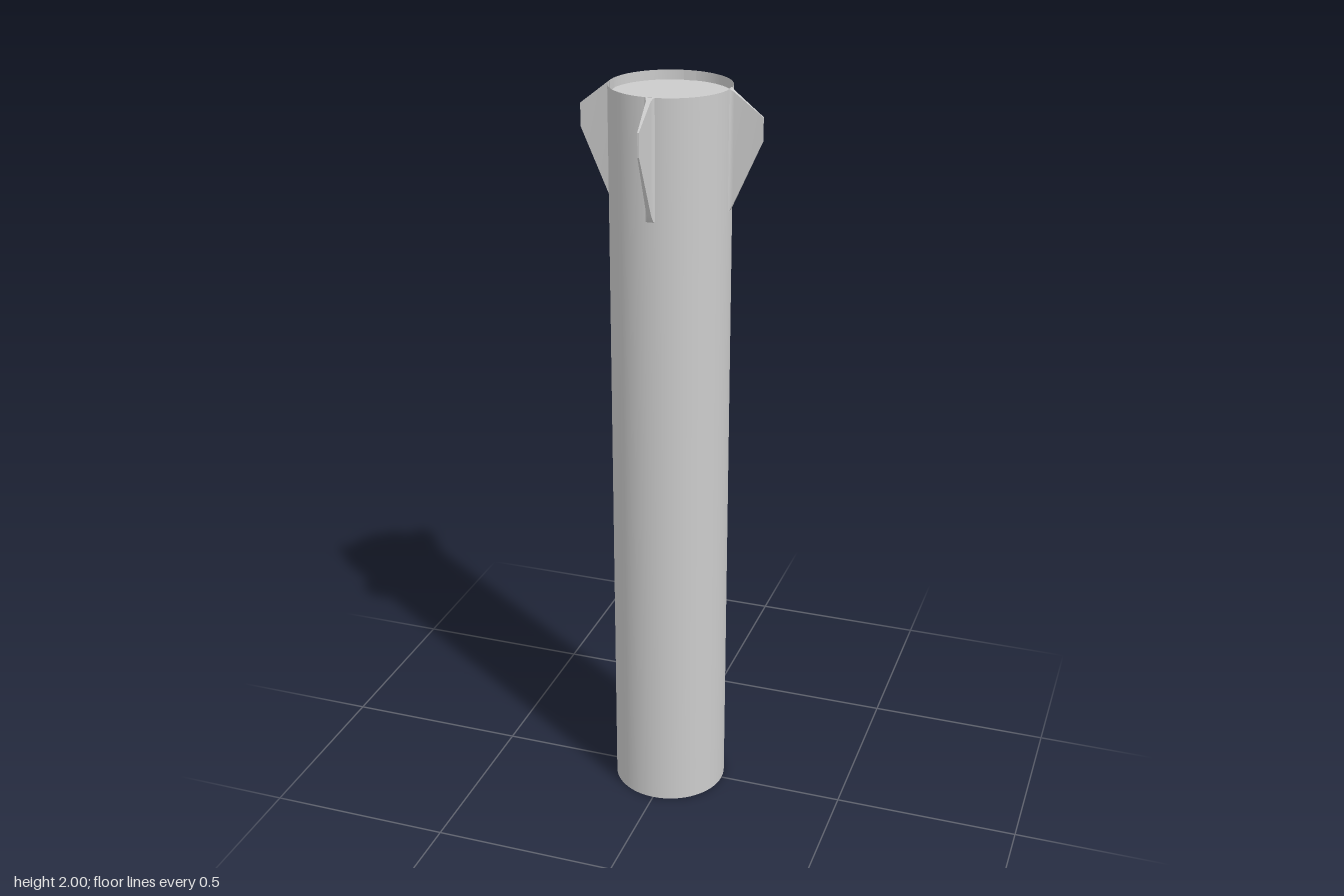
import * as THREE from 'three';

const RADIUS = 0.155;
const HEIGHT = 2;
const TIP = 0.238;

// Fin stations from root to tip: [distance from axis, half thickness]
const STATIONS = [[0.152, 0.016], [0.157, 0.009], [0.165, 0.006], [TIP, 0.002]];

function finGeometry() {
  const geo = new THREE.BoxGeometry(3, 1, 1, 3, 1, 1);
  const p = geo.attributes.position;
  for (let i = 0; i < p.count; i++) {
    const [r, half] = STATIONS[Math.round(p.getX(i) + 1.5)];
    const t = Math.max(0, (r - RADIUS) / (TIP - RADIUS));
    const top = HEIGHT - 0.065 * t;
    const bottom = 1.69 + 0.185 * t;
    p.setXYZ(i, r, p.getY(i) > 0 ? top : bottom, Math.sign(p.getZ(i)) * half);
  }
  geo.computeVertexNormals();
  return geo;
}

export function createModel() {
  const group = new THREE.Group();
  const grey = new THREE.MeshStandardMaterial({ color: 0xcccccc });
  const thin = new THREE.MeshStandardMaterial({ color: 0xcccccc, side: THREE.DoubleSide });

  const add = (name, geo, mat) => {
    const mesh = new THREE.Mesh(geo, mat);
    mesh.name = name;
    group.add(mesh);
    return mesh;
  };

  // Thin-walled body tube, open at both ends
  const tube = new THREE.CylinderGeometry(RADIUS, RADIUS, HEIGHT, 64, 1, true);
  add('bodyTube', tube, thin).position.y = HEIGHT / 2;

  // End plates set back inside the tube
  const plate = new THREE.CircleGeometry(RADIUS, 64);
  for (const [name, y, turn] of [['topPlate', HEIGHT - 0.025, -1], ['bottomPlate', 0.075, 1]]) {
    const mesh = add(name, plate, thin);
    mesh.position.y = y;
    mesh.rotation.x = turn * Math.PI / 2;
  }

  // Four tapered fins with flared roots
  const fin = finGeometry();
  ['leftFin', 'backFin', 'rightFin', 'frontFin'].forEach((name, i) => {
    add(name, fin, grey).rotation.y = i * Math.PI / 2;
  });

  return group;
}
